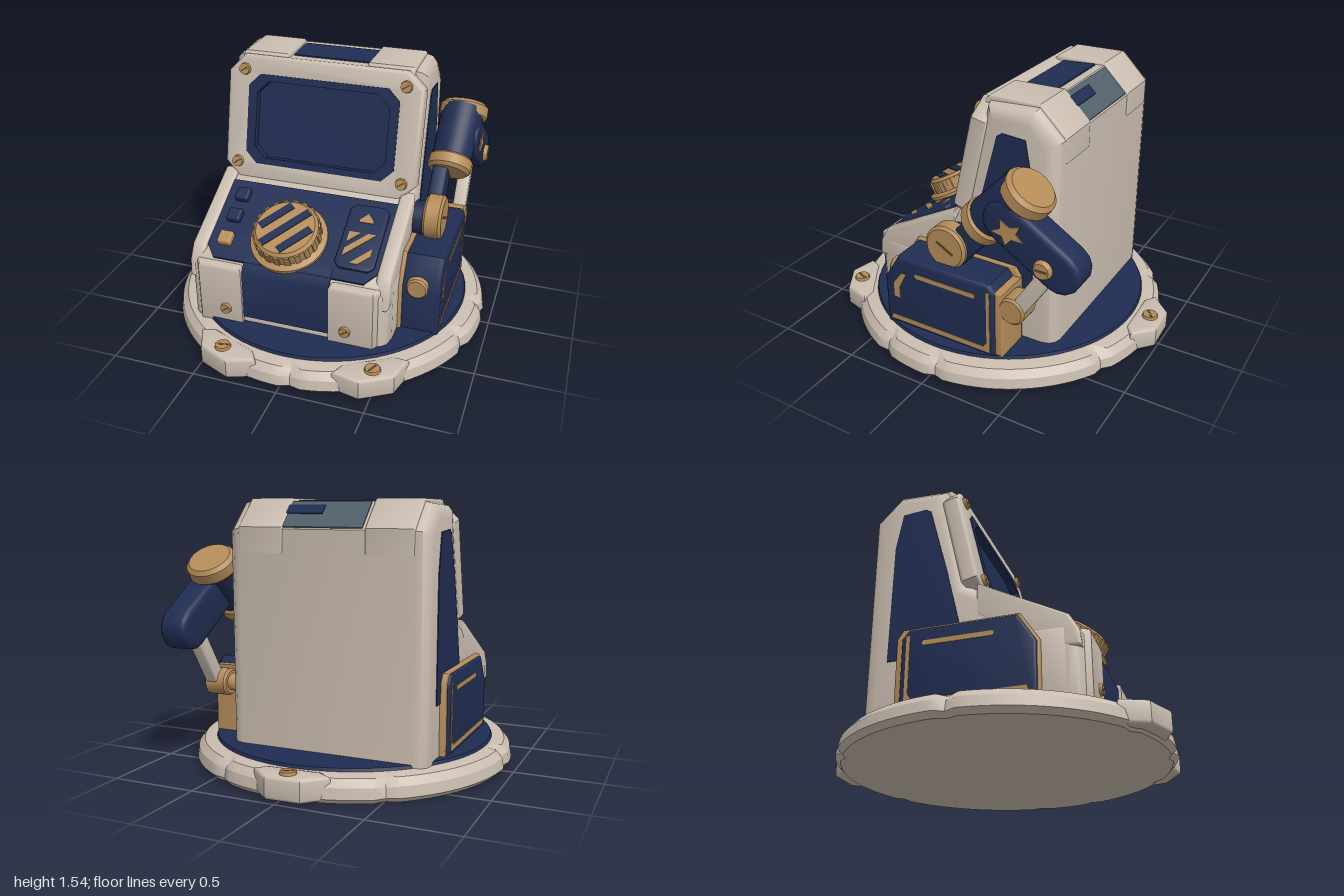
import * as THREE from 'three';
import { toCreasedNormals } from 'three/addons/utils/BufferGeometryUtils.js';
import { RoundedBoxGeometry } from 'three/addons/geometries/RoundedBoxGeometry.js';

const material = (name, color) => {
  const m = new THREE.MeshStandardMaterial({ color });
  m.name = name;
  return m;
};

export function createModel() {
  const cream = material('cream', 0xcabdb0);
  const navy = material('navy', 0x202d52);
  const tan = material('tan', 0xb48c59);
  const brown = material('dark brown', 0x6b5134);
  const slate = material('slate', 0x506069);
  const root = new THREE.Group();
  root.name = 'consoleWithArm';

  const add = (name, geo, mat, parent = root, pos = [0, 0, 0]) => {
    const mesh = new THREE.Mesh(geo, mat);
    mesh.name = name;
    mesh.position.set(...pos);
    parent.add(mesh);
    return mesh;
  };
  const group = (name, pos, rx = 0, parent = root) => {
    const g = new THREE.Group();
    g.name = name;
    g.position.set(...pos);
    g.rotation.x = rx;
    parent.add(g);
    return g;
  };
  const shapeOf = (pts) => new THREE.Shape(pts.map((p) => new THREE.Vector2(...p)));
  // Outline in x,y extruded from z0 to z1, with the bevel kept inside the outline
  const plate = (pts, z0, z1, b = 0, hole) => {
    const s = shapeOf(pts);
    if (hole) s.holes.push(shapeOf(hole));
    const g = new THREE.ExtrudeGeometry(s, {
      depth: z1 - z0 - 2 * b, bevelEnabled: b > 0, bevelThickness: b, bevelSize: b, bevelOffset: -b, bevelSegments: 3,
    });
    g.translate(0, 0, z0 + b);
    return toCreasedNormals(g, 0.65);
  };
  // Side outline in z,y extruded from x0 to x1
  const slab = (pts, x0, x1, b = 0) => plate(pts, -x1, -x0, b).rotateY(-Math.PI / 2);
  const octagon = (w, h, c) => [[-w + c, -h], [w - c, -h], [w, -h + c], [w, h - c], [w - c, h], [-w + c, h], [-w, h - c], [-w, -h + c]];
  const rect = (a, b, c, d) => [[a, b], [c, b], [c, d], [a, d]];
  // Slotted screw facing local +z
  const screw = (parent, x, y, z, r = 0.036) => {
    const g = group('screw', [x, y, z], 0, parent);
    add('screwHead', new THREE.CylinderGeometry(r * 0.85, r, 0.03, 12).rotateX(Math.PI / 2), tan, g);
    add('screwSlot', new THREE.BoxGeometry(r * 1.3, r * 0.25, 0.006), brown, g, [0, 0, 0.014]).rotation.z = 0.6;
    return g;
  };
  // Round drum between two points
  const drum = (name, a, b, r0, r1, mat, bevel = 0) => {
    const A = new THREE.Vector3(...a), B = new THREE.Vector3(...b), h = A.distanceTo(B);
    const prof = [[0, 0], [r0 - bevel, 0], [r0, bevel], [r1, h - bevel], [r1 - bevel, h], [0, h]];
    const geo = toCreasedNormals(new THREE.LatheGeometry(prof.map((p) => new THREE.Vector2(...p)), 28), 0.6);
    add(name, geo, mat, root, a).quaternion.setFromUnitVectors(new THREE.Vector3(0, 1, 0), B.sub(A).normalize());
  };
  // Round-ended bar between two z,y points
  const bar = (name, [z0, y0], [z1, y1], r, x0, x1, mat, b = 0.03) => {
    const t = Math.atan2(y1 - y0, z1 - z0), pts = [];
    for (let i = 0; i <= 7; i++) pts.push([z1 + r * Math.cos(t - Math.PI / 2 + i * Math.PI / 7), y1 + r * Math.sin(t - Math.PI / 2 + i * Math.PI / 7)]);
    for (let i = 0; i <= 7; i++) pts.push([z0 + r * Math.cos(t + Math.PI / 2 + i * Math.PI / 7), y0 + r * Math.sin(t + Math.PI / 2 + i * Math.PI / 7)]);
    add(name, slab(pts, x0, x1, b), mat);
  };

  // Round base with small notches in its rim
  const base = group('base', [0, 0, 0.02]);
  const rimProfile = [[0, 0], [0.925, 0], [0.955, 0.03], [0.945, 0.09], [0.91, 0.13], [0.85, 0.14], [0, 0.14]];
  const rim = new THREE.LatheGeometry(rimProfile.map((p) => new THREE.Vector2(...p)), 96);
  const rp = rim.attributes.position, notches = [1, 9, 19, 25, 41, 57, 72, 88];
  for (let i = 0; i < rp.count; i++) {
    if (notches.includes(Math.floor(i / rimProfile.length)) && Math.hypot(rp.getX(i), rp.getZ(i)) > 0.88) {
      rp.setXYZ(i, rp.getX(i) * 0.975, rp.getY(i) * 0.9, rp.getZ(i) * 0.975);
    }
  }
  add('baseRim', toCreasedNormals(rim, 0.5), cream, base);
  add('baseDeck', new THREE.CylinderGeometry(0.83, 0.85, 0.05, 72), navy, base, [0, 0.132, 0]);
  for (const [x, z] of [[-0.04, -0.94], [-0.36, 0.87], [0.5, 0.81]]) {
    const lug = group('lug', [0, 0.145, 0], 0, base);
    lug.rotation.y = Math.atan2(x, z);
    add('lugPlate', plate([[-0.22, 0.9], [-0.1, 1.015], [0.1, 1.015], [0.22, 0.9], [0.15, 0.85], [-0.15, 0.85]], 0, 0.13, 0.02).rotateX(Math.PI / 2), cream, lug);
    screw(lug, 0, 0.002, 0.94, 0.05).rotation.x = -Math.PI / 2;
  }

  // Console body
  const CX = -0.075;
  add('body', slab([[0.64, 0.06], [0.64, 0.48], [0.6, 0.54], [0.02, 0.86], [-0.13, 1.515], [-0.42, 1.53], [-0.57, 1.38], [-0.57, 0.06]], -0.67, 0.52, 0.08), cream);
  add('frontPanel', slab([[0.648, 0.19], [0.648, 0.485], [0.605, 0.552], [0.5, 0.6], [0.5, 0.19]], -0.335, 0.185), navy);
  for (const s of [-1, 1]) {
    const X = (h) => CX + s * h;
    // Corner pad, slope rail and raised top pad
    const pad = plate([[X(0.6), -0.35], [X(0.6), -0.54], [X(0.52), -0.665], [X(0.26), -0.665], [X(0.26), -0.35]], 0.12, 0.52, 0.025);
    add('cornerPad', pad.rotateX(-Math.PI / 2), cream);
    screw(root, X(0.36), 0.24, 0.668);
    const [r0, r1] = [X(0.51), X(0.597)].sort((a, b) => a - b);
    add('slopeRail', slab([[0.63, 0.4], [0.62, 0.5], [0.57, 0.585], [0.07, 0.85], [0.07, 0.65], [0.45, 0.4]], r0, r1, 0.02), cream);
    const [t0, t1] = [X(0.24), X(0.52)].sort((a, b) => a - b);
    add('topPad', slab([[-0.06, 1.48], [-0.12, 1.54], [-0.42, 1.545], [-0.575, 1.39], [-0.575, 1.25], [-0.3, 1.25]], t0, t1, 0.015), cream);
    // Tall side panel
    const side = X(0.595);
    add('sidePanel', slab([[0.02, 0.45], [-0.1, 0.95], [-0.21, 1.36], [-0.24, 1.38], [-0.38, 1.37], [-0.42, 1.15], [-0.43, 0.45]], side - 0.005, side + 0.005), navy);
  }
  add('topPanel', slab([[-0.17, 1.51], [-0.17, 1.525], [-0.37, 1.536], [-0.37, 1.51]], -0.3, 0.19), navy);
  add('rearWindow', slab([[-0.43, 1.53], [-0.565, 1.394], [-0.56, 1.38], [-0.42, 1.52]], -0.3, 0.18), slate);
  add('rearWindowFlash', slab([[-0.455, 1.511], [-0.5, 1.466], [-0.495, 1.45], [-0.45, 1.5]], -0.04, 0.182), navy);

  // Tilted screen with recessed glass
  const screen = group('screen', [CX, 1.165, 0.02], -0.23);
  const opening = octagon(0.46, 0.27, 0.07);
  add('screenFrame', plate(octagon(0.595, 0.378, 0.1), -0.11, 0, 0.025, octagon(0.435, 0.245, 0.065)), cream, screen);
  add('screenBezel', plate(opening, -0.05, 0.004, 0, octagon(0.405, 0.23, 0.07)), navy, screen);
  add('screenGlass', plate(octagon(0.43, 0.25, 0.05), -0.07, -0.045), navy, screen);
  for (const [x, y] of [[-0.49, 0.29], [0.49, 0.29], [-0.51, -0.27], [0.51, -0.27]]) screw(screen, x, y, 0.005, 0.038);

  // Sloping control deck
  const deck = group('controlDeck', [CX, 0.67, 0.365], -1.067);
  add('deckPanel', plate([[-0.515, 0.26], [0.515, 0.26], [0.515, -0.2], [0.45, -0.28], [-0.45, -0.28], [-0.515, -0.2]], -0.02, 0.008), navy, deck);
  [[0.154, navy], [0.005, navy], [-0.154, tan]].forEach(([y, m]) =>
    add('button', new RoundedBoxGeometry(0.085, 0.085, 0.05, 3, 0.015), m, deck, [-0.412, y, 0.02]));
  const side = group('stripePanel', [0.37, 0, 0], 0, deck);
  add('stripePlate', plate(octagon(0.115, 0.21, 0.03), 0, 0.028, 0.008), navy, side);
  const warning = [
    [[-0.08, 0.03], [-0.01, 0.1], [-0.08, 0.1]],
    [[-0.08, -0.06], [0.08, 0.1], [0.03, 0.1], [-0.08, -0.01]],
    [[-0.03, -0.1], [0.02, -0.1], [0.08, -0.04], [0.08, 0.01]],
  ];
  for (const pts of warning) add('warningStripe', plate(pts, 0.026, 0.033), tan, side, [0, -0.08, 0]);
  add('indicator', plate([[-0.04, 0.09], [0.04, 0.09], [0.04, 0.105], [0, 0.15], [-0.04, 0.105]], 0.026, 0.033), tan, side);

  // Ribbed dial with striped cap
  const dial = group('dial', [-0.045, -0.08, 0], 0, deck);
  const dialProfile = [[0.225, 0], [0.225, 0.025], [0.19, 0.04], [0.187, 0.11], [0.17, 0.128], [0, 0.128]];
  add('dialBody', toCreasedNormals(new THREE.LatheGeometry(dialProfile.map((p) => new THREE.Vector2(...p)), 40).rotateX(Math.PI / 2), 0.5), tan, dial);
  for (let i = 0; i < 20; i++) {
    const a = (i / 20) * Math.PI * 2;
    add('dialRib', new THREE.BoxGeometry(0.016, 0.03, 0.07), tan, dial, [0.188 * Math.cos(a), 0.188 * Math.sin(a), 0.075]).rotation.z = a;
  }
  for (const o of [-0.1, 0, 0.1]) {
    const len = 2 * Math.sqrt(0.165 ** 2 - (Math.abs(o) + 0.024) ** 2);
    add('dialStripe', new THREE.BoxGeometry(len, 0.048, 0.006), navy, dial, [-o * 0.75, o * 0.66, 0.13]).rotation.z = 0.85;
  }

  // Side boxes: a deep one under the arm, a shallow one opposite
  const boxSide = [[0.41, 0.12], [0.41, 0.44], [0.31, 0.6], [-0.29, 0.6], [-0.33, 0.55], [-0.33, 0.12]];
  const trimSide = [[0.425, 0.12], [0.425, 0.45], [0.32, 0.612], [-0.33, 0.612], [-0.365, 0.56], [-0.365, 0.12]];
  add('armBox', slab(boxSide, 0.5, 0.76, 0.03), navy);
  add('armBoxTrim', slab(trimSide, 0.48, 0.545, 0.01), tan);
  add('armBoxRearTrim', slab(rect(-0.37, 0.15, -0.3, 0.56), 0.52, 0.745, 0.015), tan);
  add('leftBox', slab(boxSide, -0.715, -0.64, 0.015), navy);
  add('leftBoxTrim', slab(trimSide, -0.7, -0.64, 0.01), tan);
  for (const x of [0.76, -0.715]) {
    add('boxSlot', slab(octagon(0.2, 0.014, 0.01).map(([z, y]) => [z - 0.01, y + 0.51]), x - 0.004, x + 0.004), tan);
    add('boxFootTrim', slab([[0.37, 0.17], [0.36, 0.2], [-0.26, 0.2], [-0.28, 0.23], [-0.28, 0.56], [-0.3, 0.56], [-0.3, 0.17]], x - 0.004, x + 0.004), tan);
  }
  add('boxSidePocket', slab([[0.34, 0.33], [0.34, 0.42], [0.28, 0.5], [0.25, 0.5], [0.3, 0.4], [0.3, 0.33]], 0.756, 0.764), tan);
  drum('boxButton', [0.63, 0.44, 0.38], [0.63, 0.44, 0.43], 0.066, 0.062, tan, 0.01);

  // Jointed arm
  drum('shoulder', [0.58, 0.7, 0.03], [0.69, 0.7, 0.03], 0.13, 0.13, tan, 0.015);
  add('shoulderSlot', new THREE.BoxGeometry(0.006, 0.015, 0.12), brown, root, [0.69, 0.7, 0.03]).rotation.x = -0.5;
  drum('shoulderPin', [0.5, 0.68, 0.03], [0.59, 0.68, 0.03], 0.1, 0.1, navy);
  bar('lowerArm', [0, 0.66], [-0.22, 0.92], 0.085, 0.57, 0.66, navy, 0.02);
  drum('forearm', [0.655, 0.92, -0.2], [0.675, 1.18, -0.47], 0.115, 0.13, navy);
  drum('lowerCuff', [0.655, 0.895, -0.18], [0.66, 0.965, -0.25], 0.13, 0.13, tan, 0.02);
  drum('upperCuff', [0.675, 1.125, -0.455], [0.675, 1.21, -0.515], 0.145, 0.145, tan, 0.022);
  bar('elbowBar', [-0.4, 1.03], [-0.72, 0.83], 0.12, 0.63, 0.8, navy);
  drum('elbowBolt', [0.79, 0.84, -0.64], [0.825, 0.84, -0.64], 0.055, 0.05, tan, 0.008);
  add('elbowBoltSlot', new THREE.BoxGeometry(0.005, 0.012, 0.07), brown, root, [0.825, 0.84, -0.64]);
  const star = [];
  for (let i = 0; i < 10; i++) {
    const r = i % 2 ? 0.048 : 0.1, a = (i / 10) * Math.PI * 2 + 1.1;
    star.push([-0.44 + r * Math.cos(a), 0.99 + r * Math.sin(a) * 0.75]);
  }
  add('star', slab(star, 0.797, 0.806), tan);
  // Rear strut and its pivot
  bar('strut', [-0.44, 0.47], [-0.64, 0.78], 0.045, 0.655, 0.735, cream, 0.015);
  drum('strutPivot', [0.6, 0.47, -0.42], [0.745, 0.47, -0.42], 0.08, 0.08, tan, 0.012);
  bar('strutBracket', [-0.3, 0.47], [-0.42, 0.47], 0.05, 0.56, 0.72, tan, 0.01);
  return root;
}
